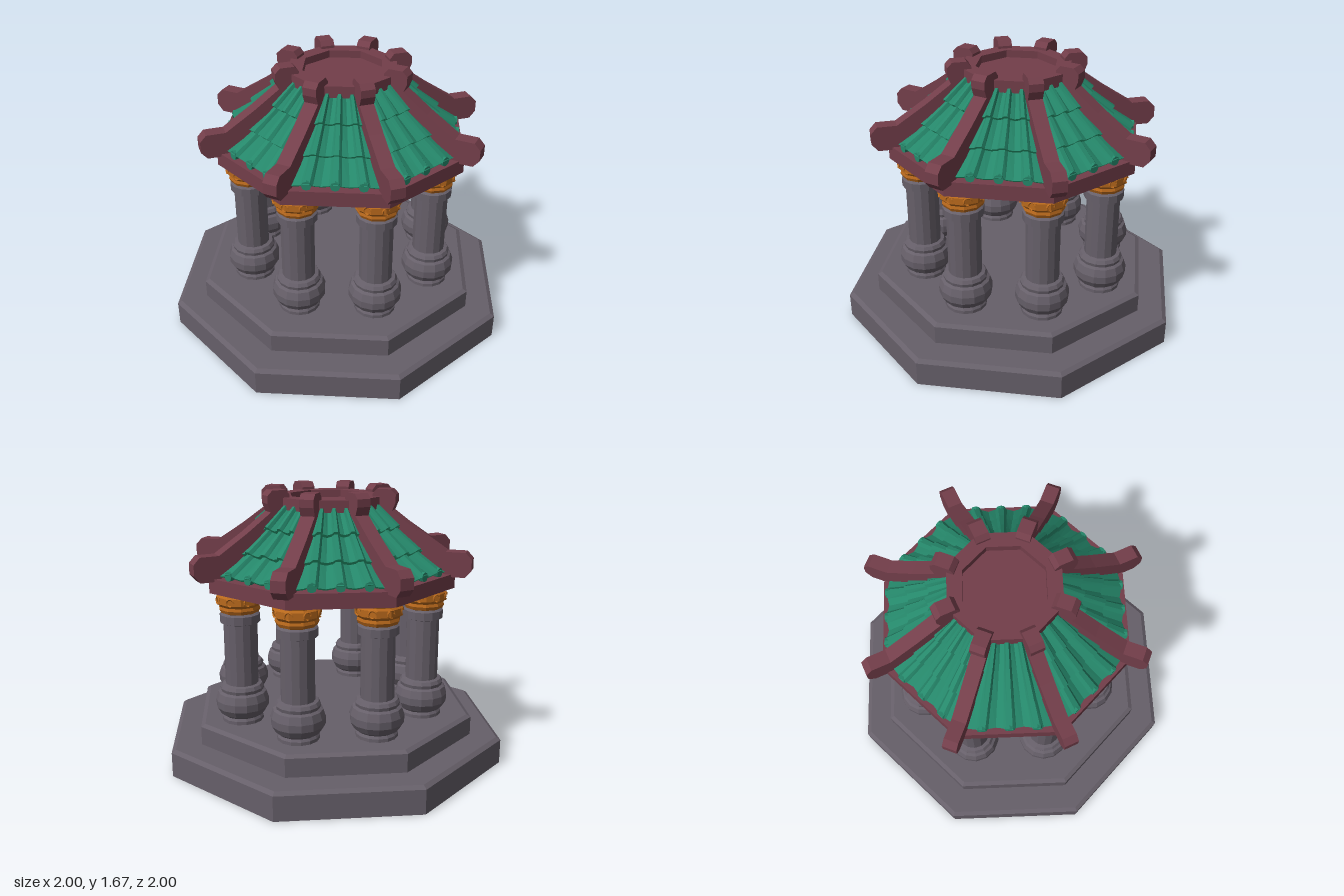
import * as THREE from 'three';

const flat = (name, color) => {
  const m = new THREE.MeshStandardMaterial({ color, flatShading: true });
  m.name = name;
  return m;
};
const stone = flat('stone', 0x665f69);
const wood = flat('redWood', 0x733e4a);
const tile = flat('greenTile', 0x25876a);
const lip = flat('brightTileEdge', 0x2bab7c);
const gold = flat('gold', 0xb9691c);
tile.side = lip.side = THREE.DoubleSide;

const STEP = Math.PI / 4, HALF = Math.PI / 8, COS = Math.cos(HALF);

function add(parent, name, geometry, material, x = 0, y = 0, z = 0) {
  const mesh = new THREE.Mesh(geometry, material);
  mesh.name = name;
  mesh.position.set(x, y, z);
  parent.add(mesh);
  return mesh;
}

// Octagonal slab with flat sides facing the axes; sizes are apothems
function slab(bottom, top, y0, y1) {
  const g = new THREE.CylinderGeometry(top / COS, bottom / COS, y1 - y0, 8);
  return g.rotateY(HALF).translate(0, (y0 + y1) / 2, 0);
}

function lathe(profile, sides) {
  return new THREE.LatheGeometry(profile.map(p => new THREE.Vector2(...p)), sides);
}

function octagon(apothem, Type) {
  const pts = [];
  for (let i = 0; i < 8; i++) {
    const a = HALF + i * STEP;
    pts.push(new THREE.Vector2(Math.cos(a) * apothem / COS, Math.sin(a) * apothem / COS));
  }
  return new Type(pts);
}

// One column: lathed stone body plus a gold capital with scrolls
function makeColumn() {
  const g = new THREE.Group();
  g.name = 'column';
  add(g, 'columnBody', lathe([
    [0.125, 0.29], [0.125, 0.315], [0.115, 0.33], [0.135, 0.345], [0.158, 0.385], [0.16, 0.43],
    [0.145, 0.475], [0.128, 0.485], [0.132, 0.505], [0.12, 0.525], [0.099, 0.53], [0.099, 0.905],
    [0.119, 0.912], [0.119, 0.96], [0.1, 0.972]], 14), stone);
  add(g, 'capital', lathe([
    [0.09, 0.965], [0.115, 0.975], [0.125, 0.995], [0.12, 1.012], [0.136, 1.03],
    [0.136, 1.07], [0.125, 1.082], [0.13, 1.1]], 10), gold);
  const curl = new THREE.TorusGeometry(0.022, 0.006, 4, 10, Math.PI * 1.6);
  for (let i = 0; i < 8; i++) {
    const a = i * STEP;
    const c = add(g, 'capitalScroll', curl, gold, Math.sin(a) * 0.133, 1.05, Math.cos(a) * 0.133);
    c.rotation.y = a;
  }
  return g;
}

// Folded tile courses of one roof side, facing +z
const SLOPE = [[0.30, 1.565], [0.415, 1.435], [0.545, 1.305], [0.672, 1.19]];
const FOLDS = [[-0.278, 0], [-0.235, -0.006], [-0.19, 0.004], [-0.172, 0.024], [-0.138, 0.024],
  [-0.12, 0.004], [-0.078, -0.008], [-0.036, 0.004], [-0.017, 0.024]];
const SECTION = [...FOLDS, ...FOLDS.map(([x, h]) => [-x, h]).reverse()];

function makeTiles() {
  const faces = [], edges = [];
  const quad = (out, a, b, c, d) => out.push(...a, ...b, ...c, ...a, ...c, ...d);
  const point = ([x, h], [a, y], lift) => {
    const n = (h + lift) * 0.71;
    return [x * a / 0.672, y + n, a + n];
  };
  for (let t = 0; t < 3; t++) {
    const hi = SLOPE[t], lo = SLOPE[t + 1];
    for (let i = 0; i < SECTION.length - 1; i++) {
      const l = SECTION[i], r = SECTION[i + 1];
      const bl = point(l, lo, 0.024), br = point(r, lo, 0.024);
      quad(faces, point(l, hi, 0), bl, br, point(r, hi, 0));
      quad(edges, bl, point(l, lo, t < 2 ? 0 : 0.01), point(r, lo, t < 2 ? 0 : 0.01), br);
    }
  }
  return [faces, edges].map(list => {
    const g = new THREE.BufferGeometry();
    g.setAttribute('position', new THREE.Float32BufferAttribute(list, 3));
    g.computeVertexNormals();
    return g;
  });
}

// Hip beam outline (radius, height): upper knob, sloping beam, lower knob
function makeHip() {
  const outline = [
    [0.28, 1.59], [0.28, 1.64], [0.305, 1.67], [0.39, 1.67], [0.42, 1.64], [0.42, 1.595],
    [0.40, 1.545], [0.55, 1.435], [0.725, 1.32], [0.84, 1.32], [0.877, 1.28], [0.877, 1.215],
    [0.84, 1.172], [0.735, 1.172], [0.70, 1.2], [0.56, 1.32], [0.43, 1.43], [0.33, 1.56]];
  const shape = new THREE.Shape(outline.map(p => new THREE.Vector2(...p)));
  const w = 0.085;
  return new THREE.ExtrudeGeometry(shape, { depth: w, bevelEnabled: false }).translate(0, 0, -w / 2);
}

export function createModel() {
  const model = new THREE.Group();
  model.name = 'pavilion';

  // Stepped plinth with bevelled rims
  const plinth = new THREE.Group();
  plinth.name = 'plinth';
  model.add(plinth);
  add(plinth, 'lowerStep', slab(1, 1, 0, 0.15), stone);
  add(plinth, 'lowerStepBevel', slab(1, 0.975, 0.15, 0.167), stone);
  add(plinth, 'upperStep', slab(0.825, 0.825, 0.16, 0.28), stone);
  add(plinth, 'upperStepBevel', slab(0.825, 0.8, 0.28, 0.295), stone);

  // Everything above the plinth sits slightly back
  const upper = new THREE.Group();
  upper.name = 'upperStructure';
  upper.position.z = -0.035;
  model.add(upper);

  for (let i = 0; i < 8; i++) {
    const a = HALF + i * STEP;
    const column = makeColumn();
    column.position.set(Math.sin(a) * 0.595, 0, Math.cos(a) * 0.595);
    column.rotation.y = a;
    upper.add(column);
  }

  // Roof
  const roof = new THREE.Group();
  roof.name = 'roof';
  upper.add(roof);
  add(roof, 'eaveBeam', slab(0.718, 0.718, 1.1, 1.187), wood);

  const [tileFaces, tileEdges] = makeTiles();
  const hip = makeHip();
  const cap = new THREE.CylinderGeometry(0.028, 0.028, 0.03, 8).rotateX(Math.PI / 2);
  for (let i = 0; i < 8; i++) {
    const side = new THREE.Group();
    side.name = 'roofSide';
    side.rotation.y = i * STEP;
    roof.add(side);
    add(side, 'tiles', tileFaces, tile);
    add(side, 'tileEdges', tileEdges, lip);
    for (const x of [-0.155, 0, 0.155]) add(side, 'tileEndCap', cap, tile, x, 1.213, 0.687);
    add(roof, 'hipBeam', hip, wood).rotation.y = HALF + i * STEP;
  }

  // Crown: octagonal rim around a sunken lid
  const rim = octagon(0.315, THREE.Shape);
  rim.holes.push(octagon(0.228, THREE.Path));
  const rimGeometry = new THREE.ExtrudeGeometry(rim, { depth: 0.07, bevelEnabled: false });
  add(roof, 'crownRim', rimGeometry.rotateX(-Math.PI / 2), wood, 0, 1.555, 0);
  add(roof, 'crownLid', slab(0.24, 0.24, 1.545, 1.58), wood);

  return model;
}
